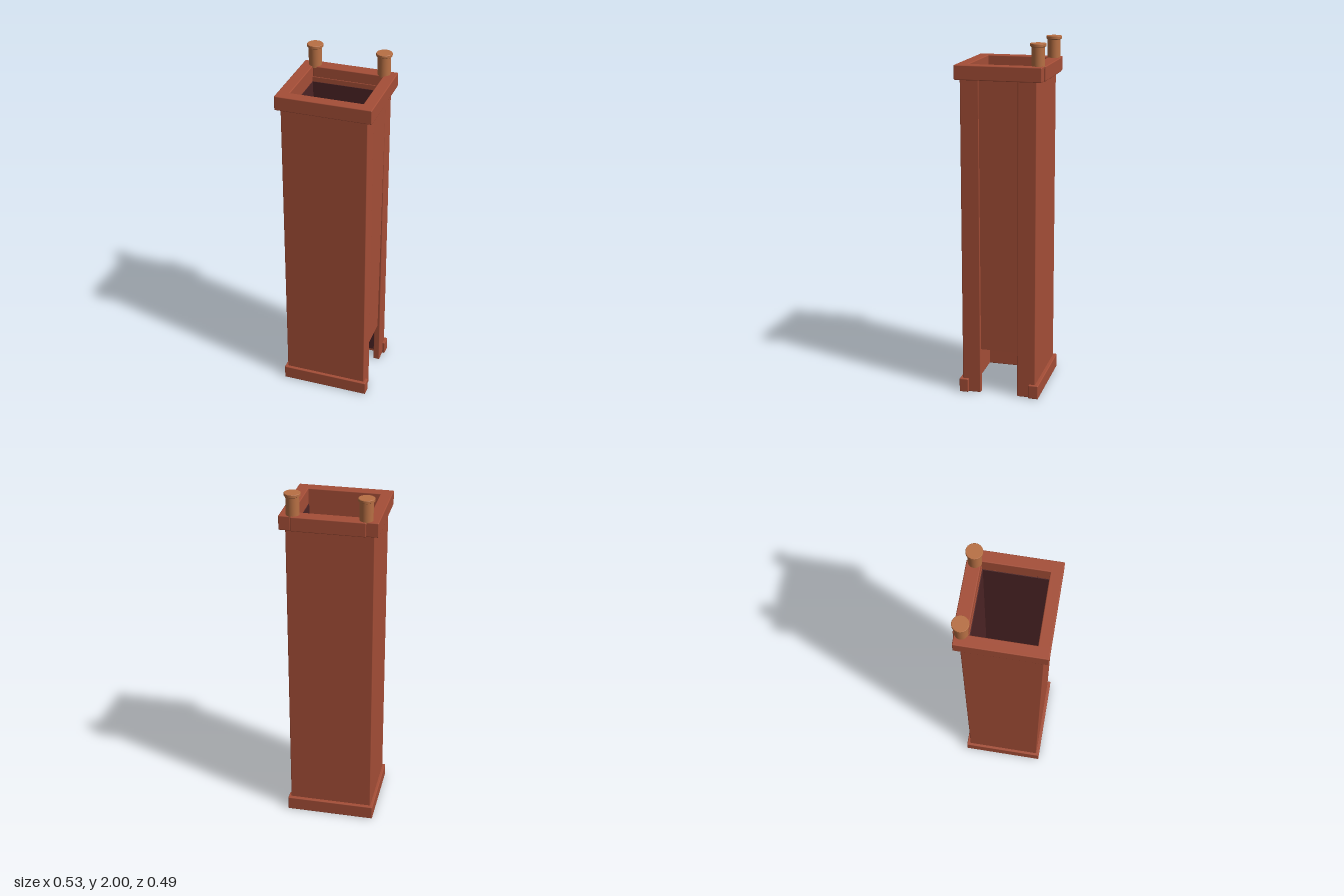
import * as THREE from 'three';
import { RoundedBoxGeometry } from 'three/addons/geometries/RoundedBoxGeometry.js';

export function createModel() {
  const model = new THREE.Group();
  model.name = 'chimney';

  const brick = new THREE.MeshStandardMaterial({ color: 0xa54e37 });
  brick.name = 'brick red';
  const clay = new THREE.MeshStandardMaterial({ color: 0xb87044 });
  clay.name = 'clay orange';
  const soot = new THREE.MeshStandardMaterial({ color: 0x4c2425 });
  soot.name = 'soot brown';

  const add = (name, geometry, material) => {
    const mesh = new THREE.Mesh(geometry, material);
    mesh.name = name;
    model.add(mesh);
    return mesh;
  };

  // Block given by its minimum and maximum on each axis
  const block = (name, [x0, x1], [y0, y1], [z0, z1], material = brick, radius = 0.005) => {
    const size = [x1 - x0, y1 - y0, z1 - z0];
    const geometry = radius
      ? new RoundedBoxGeometry(...size, 2, radius)
      : new THREE.BoxGeometry(...size);
    geometry.translate((x0 + x1) / 2, (y0 + y1) / 2, (z0 + z1) / 2);
    return add(name, geometry, material);
  };

  // Shaft walls
  const shaft = [0, 1.82];
  block('frontWall', [-0.24, 0.237], shaft, [0.18, 0.22]);
  block('backWall', [-0.24, 0.237], shaft, [-0.205, -0.168]);
  block('leftWall', [-0.24, -0.2], shaft, [-0.2, 0.215]);

  // Open side: two posts with a hanging panel above the doorway
  block('frontPost', [0.2, 0.237], shaft, [0.115, 0.215]);
  block('backPost', [0.2, 0.237], shaft, [-0.2, -0.1]);
  const panel = block('sidePanel', [0.2, 0.237], [0.26, 1.82], [-0.1, 0.115], brick, 0);
  // The outer face of the panel leans inwards towards the bottom
  const p = panel.geometry.attributes.position;
  for (let i = 0; i < p.count; i++) {
    if (p.getX(i) > 0.22 && p.getY(i) < 1) p.setX(i, 0.222);
  }
  panel.geometry.computeVertexNormals();

  // Base skirting, interrupted at the doorway
  const base = [0, 0.08];
  block('baseFront', [-0.255, 0.252], base, [0.185, 0.237]);
  block('baseBack', [-0.255, 0.252], base, [-0.225, -0.168]);
  block('baseLeft', [-0.255, -0.2], base, [-0.22, 0.233]);

  // Rim around the top
  const rim = [1.8, 1.88];
  block('rimFront', [-0.265, 0.265], rim, [0.18, 0.245]);
  block('rimBack', [-0.2, 0.2], rim, [-0.245, -0.17]);
  block('rimLeft', [-0.265, -0.2], rim, [-0.237, 0.243]);
  block('rimRight', [0.2, 0.265], rim, [-0.237, 0.243]);

  // Sooty lining and smoke shelf inside the flue
  block('liningBack', [-0.2, 0.2], [0.02, 1.79], [-0.169, -0.164], soot, 0);
  block('liningLeft', [-0.201, -0.196], [0.28, 1.79], [-0.168, 0.18], soot, 0);
  block('liningRight', [0.196, 0.201], [0.28, 1.79], [-0.168, 0.18], soot, 0);
  block('smokeShelf', [-0.2, 0.2], [0.28, 0.34], [0.06, 0.18], soot, 0);

  // Clay pots on the back corners
  const potProfile = [
    [0, 1.87], [0.036, 1.87], [0.036, 1.98], [0.044, 1.985], [0.044, 1.998], [0.042, 2], [0, 2],
  ];
  // Each profile segment is turned on its own so the edges stay sharp
  for (const side of [-1, 1]) {
    const pot = new THREE.Group();
    pot.name = side > 0 ? 'leftPot' : 'rightPot';
    for (let i = 1; i < potProfile.length; i++) {
      const points = [potProfile[i - 1], potProfile[i]].map(([r, y]) => new THREE.Vector2(r, y));
      const ring = new THREE.Mesh(new THREE.LatheGeometry(points, 32), clay);
      ring.name = 'potRing';
      pot.add(ring);
    }
    pot.position.set(side * 0.195, 0, -0.202);
    model.add(pot);
  }

  return model;
}
